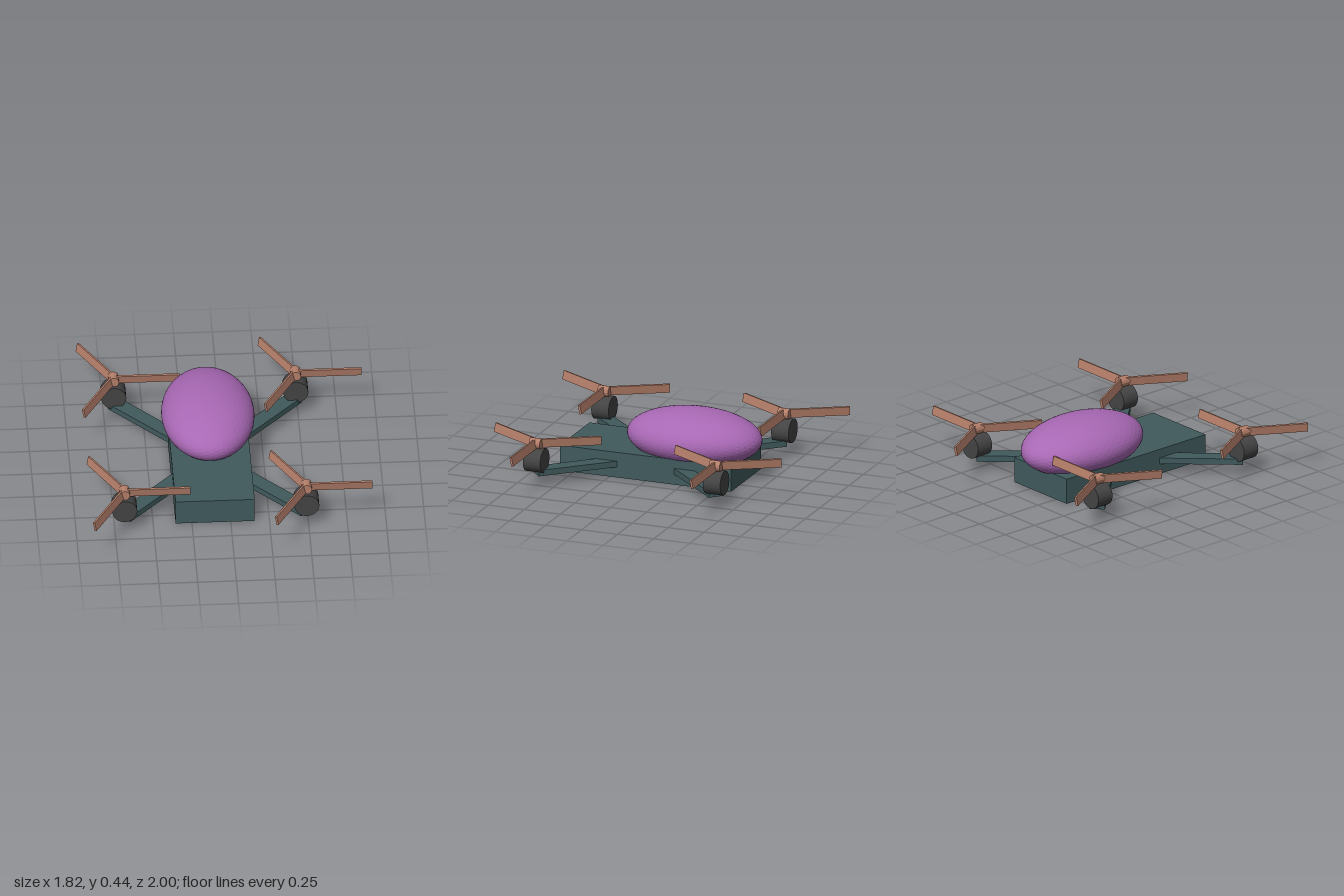
import * as THREE from 'three';

const CX = -0.1; // the hull sits a little to the right of the overall centre

const paint = (color) => new THREE.MeshStandardMaterial({ color, flatShading: true });

function part(name, geometry, material, x, y, z) {
  const mesh = new THREE.Mesh(geometry, material);
  mesh.name = name;
  mesh.position.set(x, y, z);
  return mesh;
}

export function createModel() {
  const teal = paint(0x405a5c);
  const purple = paint(0xa868b4);
  const dark = paint(0x444444);
  const copper = paint(0xb57f6a);
  const model = new THREE.Group();
  model.name = 'quadcopter';

  // Hull and canopy
  model.add(part('hull', new THREE.BoxGeometry(0.51, 0.17, 1.19), teal, CX, 0.085, 0));
  const canopy = part('canopy', new THREE.IcosahedronGeometry(1, 8), purple, CX, 0.26, -0.24);
  canopy.scale.set(0.3, 0.18, 0.455);
  model.add(canopy);

  // Shared shapes for the four corners
  const dx = 0.587, dz = 0.625;
  const reach = Math.hypot(dx, dz);
  const inner = 0.3; // arms start inside the hull
  const armGeo = new THREE.BoxGeometry(reach - inner, 0.04, 0.1);
  armGeo.translate((reach + inner) / 2, 0, 0);
  const motorGeo = new THREE.CylinderGeometry(0.08, 0.08, 0.12, 32).rotateX(Math.PI / 2);
  const hubGeo = new THREE.CylinderGeometry(0.035, 0.035, 0.075, 12).rotateX(Math.PI / 2);
  // Blade stands on edge with a slight pitch
  const bladeGeo = new THREE.BoxGeometry(0.425, 0.06, 0.014);
  bladeGeo.rotateX(0.2).translate(0.2125, 0, 0);

  for (const sx of [-1, 1]) {
    for (const sz of [-1, 1]) {
      const x = CX + sx * dx, z = sz * dz;

      const arm = part('arm', armGeo, teal, CX, 0.09, 0);
      arm.rotation.y = Math.atan2(-sz * dz, sx * dx);
      model.add(arm);

      model.add(part('motor', motorGeo, dark, x, 0.17, z));

      // Three-bladed rotor
      const rotor = new THREE.Group();
      rotor.name = 'rotor';
      rotor.position.set(x, 0.28, z);
      rotor.add(part('hub', hubGeo, copper, 0, 0, 0));
      for (let i = 0; i < 3; i++) {
        const blade = part('blade', bladeGeo, copper, 0, 0, 0);
        blade.rotation.y = (i * 2 * Math.PI) / 3;
        rotor.add(blade);
      }
      model.add(rotor);
    }
  }
  return model;
}
